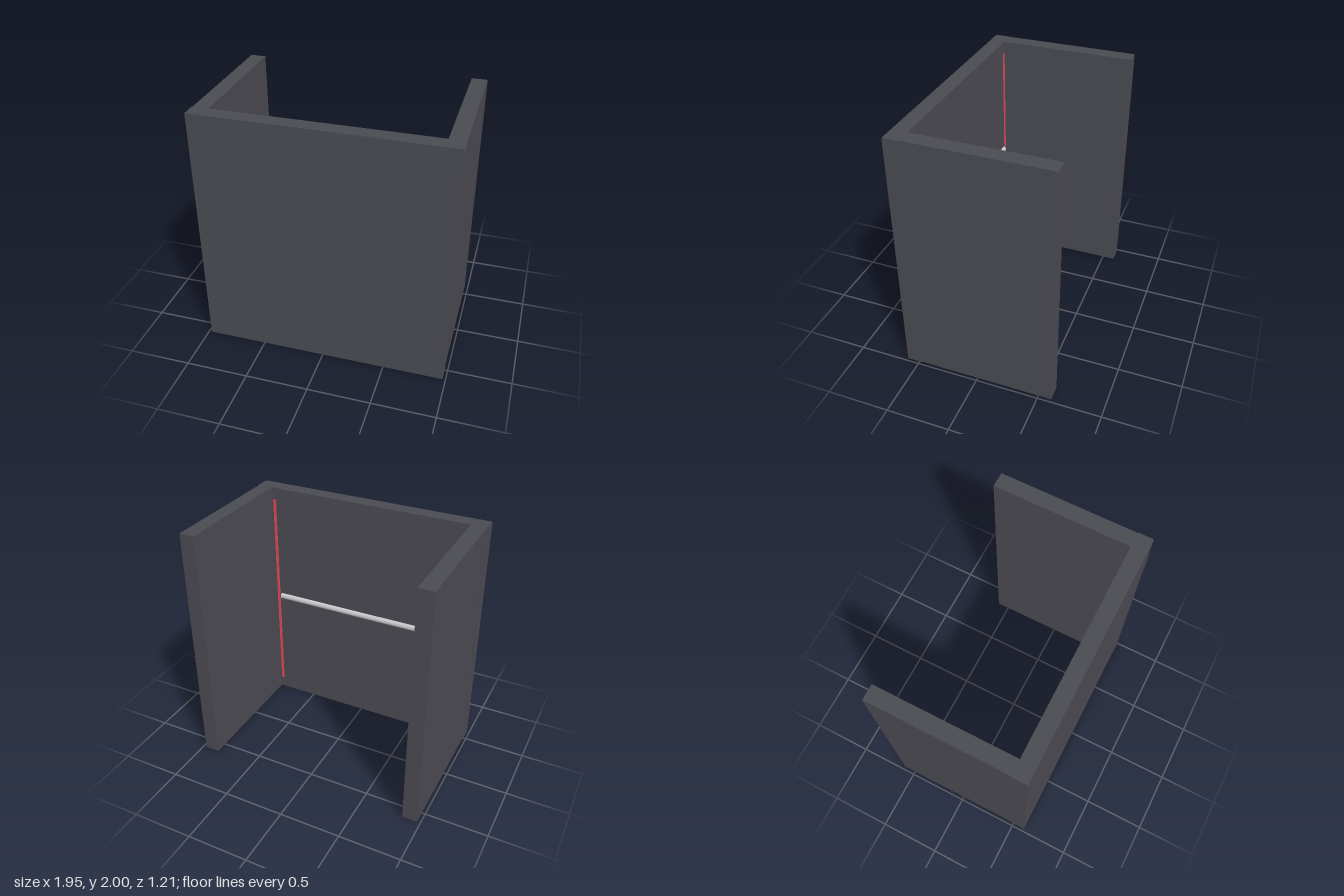
import * as THREE from 'three';

export function createModel() {
  const model = new THREE.Group();
  model.name = 'boothShell';

  const material = (name, color) => {
    const m = new THREE.MeshStandardMaterial({ color });
    m.name = name;
    return m;
  };
  const charcoal = material('charcoal', 0x4a4a52);
  const silver = material('silver', 0xc4c6ca);
  const red = material('red', 0xe04a5a);

  const add = (name, geometry, mat, x, y, z) => {
    const mesh = new THREE.Mesh(geometry, mat);
    mesh.name = name;
    mesh.position.set(x, y, z);
    model.add(mesh);
    return mesh;
  };

  // Wide front panel
  add('frontPanel', new THREE.BoxGeometry(1.954, 2, 0.122), charcoal, 0, 1, 0.542);

  // Side walls and the thin red strips in the inner corners
  for (const [side, s] of [['left', 1], ['right', -1]]) {
    add(side + 'Wall', new THREE.BoxGeometry(0.122, 2, 1.084), charcoal, s * 0.911, 1, -0.061);
    add(side + 'Strip', new THREE.BoxGeometry(0.024, 1.8, 0.014), red, s * 0.828, 1, 0.482);
  }

  // Horizontal rail, half sunk into the inside of the front panel
  const rail = add('rail', new THREE.CylinderGeometry(0.025, 0.025, 1.6, 16), silver, 0, 1, 0.481);
  rail.rotation.z = Math.PI / 2;

  return model;
}
